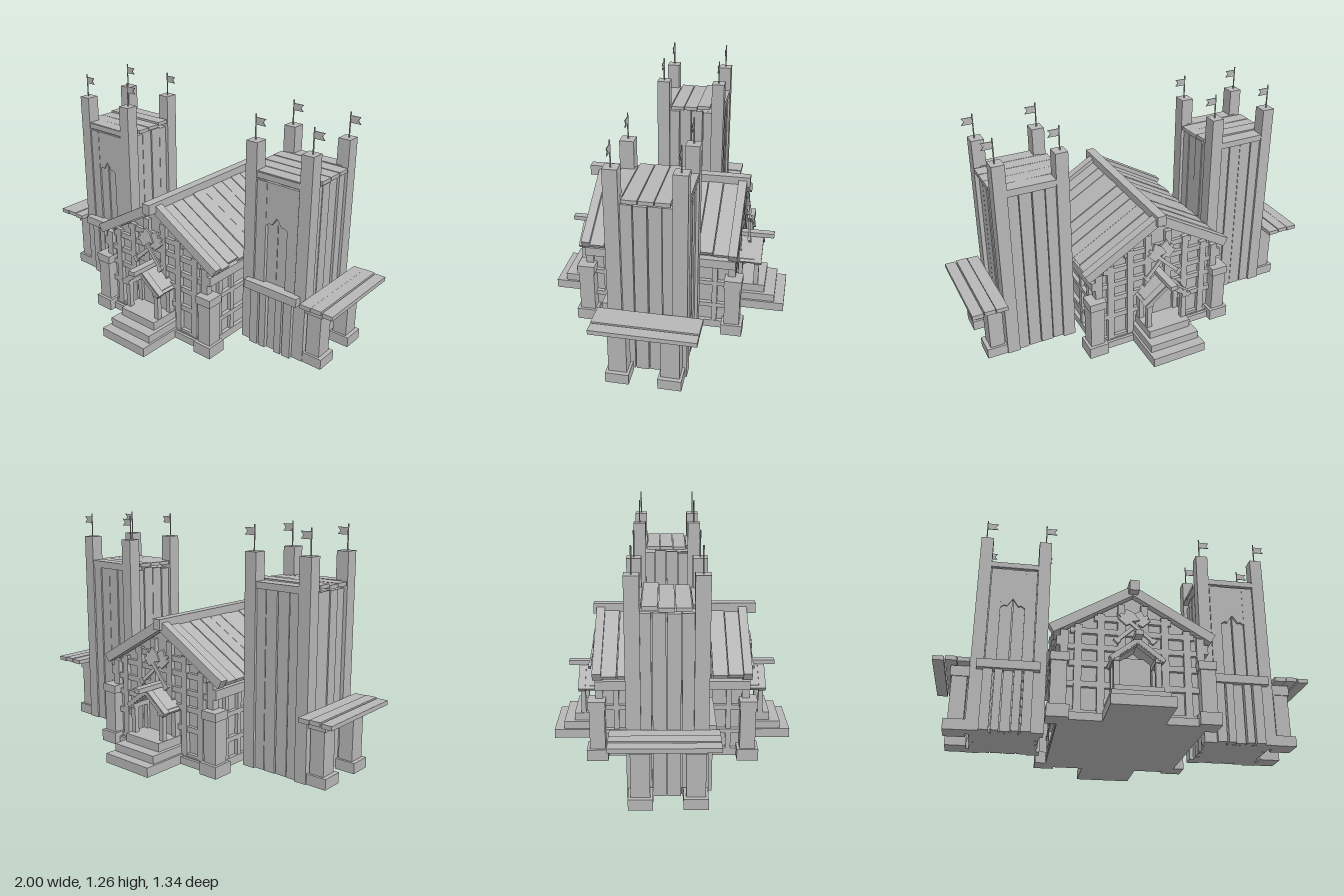
import * as THREE from 'three';

const wood = new THREE.MeshStandardMaterial({ color: 0xb6b6b6 });
wood.name = 'plain grey timber';
const flagMat = wood;

let seed = 7;
const rnd = () => { seed = (seed * 16807) % 2147483647; return seed / 2147483647; };

function add(parent, name, geo) {
  const m = new THREE.Mesh(geo, wood);
  m.name = name;
  parent.add(m);
  return m;
}
// box given by its extents
function box(parent, name, x0, x1, y0, y1, z0, z1) {
  const m = add(parent, name, new THREE.BoxGeometry(Math.abs(x1 - x0), y1 - y0, Math.abs(z1 - z0)));
  m.position.set((x0 + x1) / 2, (y0 + y1) / 2, (z0 + z1) / 2);
  return m;
}
// sloping board whose top edge runs between two points in x and y
function slope(parent, name, xa, ya, xb, yb, t, z0, z1) {
  const dx = xb - xa, dy = yb - ya, l = Math.hypot(dx, dy), k = Math.sign(dx);
  const m = add(parent, name, new THREE.BoxGeometry(l, t, z1 - z0));
  m.position.set((xa + xb) / 2 + k * dy / l * t / 2, (ya + yb) / 2 - k * dx / l * t / 2, (z0 + z1) / 2);
  m.rotation.z = Math.atan(dy / dx);
  return m;
}
// flat outline extruded from z0 to z1
function plate(parent, name, pts, z0, z1) {
  const s = new THREE.Shape(pts.map(p => new THREE.Vector2(p[0], p[1])));
  const m = add(parent, name, new THREE.ExtrudeGeometry(s, { depth: z1 - z0, bevelEnabled: false }));
  m.position.z = z0;
  return m;
}
function group(parent, name) {
  const g = new THREE.Group();
  g.name = name;
  parent.add(g);
  return g;
}

function hall(root) {
  const g = group(root, 'hall');
  box(g, 'floor', -0.37, 0.37, 0.005, 0.05, -0.41, 0.41);
  plate(g, 'walls', [[-0.35, 0.04], [0.35, 0.04], [0.35, 0.49], [0, 0.7], [-0.35, 0.49]], -0.385, 0.385);

  // roof planks running down each slope, with uneven ends
  for (const s of [-1, 1]) {
    const n = 9;
    for (let i = 0; i < n; i++) {
      const z = -0.375 + i * 0.75 / n, e = rnd() * 0.02, u = rnd() * 0.008;
      slope(g, 'roofPlank', 0, 0.735 + u, s * (0.425 - e), 0.485 + u + e * 0.6, 0.025, z + 0.002, z + 0.75 / n - 0.002);
    }
    for (const z of [-0.42, 0.37]) slope(g, 'bargeBoard', 0, 0.763, s * 0.432, 0.508, 0.05, z, z + 0.047);
    // side framing
    box(g, 'eaveBeam', s * 0.345, s * 0.39, 0.4, 0.45, -0.41, 0.41);
    for (const [y, h] of [[0.02, 0.03], [0.14, 0.025], [0.28, 0.025]])
      box(g, 'sideRail', s * 0.345, s * 0.372, y, y + h, -0.39, 0.39);
    for (const z of [-0.3, -0.2, 0.2, 0.3]) box(g, 'sideStud', s * 0.345, s * 0.37, 0.04, 0.42, z - 0.014, z + 0.014);
    // corner posts
    for (const f of [-1, 1]) {
      box(g, 'cornerFoot', s * 0.32, s * 0.43, 0.005, 0.07, f * 0.345, f * 0.46);
      box(g, 'cornerPost', s * 0.335, s * 0.415, 0.07, 0.3, f * 0.36, f * 0.443);
      box(g, 'cornerCap', s * 0.325, s * 0.42, 0.3, 0.345, f * 0.355, f * 0.45);
      box(g, 'cornerStud', s * 0.33, s * 0.37, 0.34, 0.485, f * 0.37, f * 0.41);
    }
  }
  box(g, 'ridgeBeam', -0.025, 0.025, 0.71, 0.768, -0.438, 0.468);

  // timber grid on both gables
  for (const f of [-1, 1]) {
    for (const x of [-0.28, -0.165, -0.06, 0.06, 0.165, 0.28])
      box(g, 'gableStud', x - 0.019, x + 0.019, 0.05, 0.685 - 0.58 * Math.abs(x), f * 0.38, f * 0.408);
    for (const [y, w] of [[0.05, 0.35], [0.2, 0.35], [0.31, 0.35], [0.4, 0.35], [0.49, 0.32], [0.565, 0.2]])
      box(g, 'gableRail', -w, w, y - 0.015, y + 0.015, f * 0.38, f * 0.404);
    box(g, 'sill', -0.33, 0.33, 0.005, 0.045, f * 0.38, f * 0.425);
  }
}

// one crossed axe, drawn upright and then tilted
function axe(parent, s) {
  const g = group(parent, 'axe');
  box(g, 'axeHandle', -0.01, 0.01, -0.13, 0.1, -0.005, 0.005);
  box(g, 'axePommel', -0.017, 0.017, -0.14, -0.118, -0.008, 0.008);
  plate(g, 'axeBlade', [[-0.012, 0.025], [0.012, 0.025], [0.045, 0.005], [0.056, 0.055], [0.045, 0.1],
    [0.012, 0.085], [-0.012, 0.085], [-0.03, 0.09], [-0.03, 0.03]], -0.006, 0.006);
  g.scale.x = s;
  g.rotation.z = s * 0.8;
  g.position.z = s * 0.004;
}

function porch(root, f) {
  const g = group(root, 'porch');
  box(g, 'lowerStep', -0.155, 0.155, 0.005, 0.057, 0.38, 0.67);
  box(g, 'middleStep', -0.143, 0.143, 0.057, 0.1, 0.38, 0.615);
  box(g, 'upperStep', -0.122, 0.122, 0.1, 0.146, 0.38, 0.555);
  box(g, 'door', -0.085, 0.085, 0.146, 0.345, 0.39, 0.414);
  for (const s of [-1, 1]) {
    box(g, 'porchPost', s * 0.09, s * 0.118, 0.146, 0.31, 0.49, 0.517);
    box(g, 'doorJamb', s * 0.09, s * 0.118, 0.146, 0.31, 0.39, 0.425);
    box(g, 'porchPlate', s * 0.088, s * 0.122, 0.285, 0.312, 0.39, 0.525);
    slope(g, 'porchRoof', 0, 0.405, s * 0.135, 0.3, 0.018, 0.39, 0.53);
    slope(g, 'porchBarge', 0, 0.412, s * 0.142, 0.303, 0.028, 0.49, 0.528);
  }
  box(g, 'porchRidge', -0.02, 0.02, 0.4, 0.425, 0.39, 0.588);
  const cross = group(g, 'crossedAxes');
  axe(cross, 1);
  axe(cross, -1);
  cross.position.set(0, 0.51, 0.445);
  cross.rotation.x = -0.16;
  if (f < 0) g.rotation.y = Math.PI;
}

function tower(root, s) {
  const g = group(root, s > 0 ? 'leftTower' : 'rightTower');
  box(g, 'towerCore', s * 0.46, s * 0.77, 0.01, 0.95, -0.19, 0.13);
  // wall planks on the four faces
  for (let i = 0; i < 4; i++) {
    const x = 0.475 + i * 0.07, z = -0.17 + i * 0.07;
    for (const f of [-1, 1]) {
      const e = rnd() * 0.012, top = 0.955 + rnd() * 0.02;
      const zf = f > 0 ? 0.125 : -0.185;
      box(g, 'wallPlank', s * (x + 0.002), s * (x + 0.067), 0.01, top, zf, zf + f * (0.02 + e));
      const xf = 0.615 + f * 0.15;
      box(g, 'sidePlank', s * xf, s * (xf + f * (0.02 + e)), 0.01, top - 0.01, z + 0.002, z + 0.067);
    }
  }
  // corner posts with pennants
  for (const x of [0.4525, 0.7775]) for (const z of [0.135, -0.19]) {
    box(g, 'towerPost', s * x - 0.034, s * x + 0.034, 0.01, 1.135, z - 0.036, z + 0.036);
    const px = s * (x + (x > 0.6 ? 0.006 : -0.004));
    const pole = add(g, 'flagPole', new THREE.CylinderGeometry(0.0035, 0.0035, 0.135, 6));
    pole.position.set(px, 1.2, z);
    plate(g, 'pennant', [[px, 1.213], [px + 0.06, 1.213], [px + 0.045, 1.231], [px + 0.06, 1.25], [px, 1.25]], z - 0.002, z + 0.002);
  }
  // roof planks and the rails below them
  for (let i = 0; i < 5; i++) {
    const z = -0.225 + i * 0.078, u = rnd() * 0.014, wide = i > 0 && i < 4 ? 0.2 : 0.16;
    const m = box(g, 'towerRoofPlank', s * 0.615 - wide, s * 0.615 + wide, 0.965 + u, 0.985 + u, z + 0.002, z + 0.076);
    m.rotation.z = (rnd() - 0.5) * 0.02;
  }
  box(g, 'frontRail', s * 0.47, s * 0.76, 0.955, 0.985, 0.14, 0.168);
  box(g, 'backRail', s * 0.47, s * 0.76, 0.955, 0.985, -0.222, -0.19);

  // front panel: side boards and a header with a pointed opening
  box(g, 'frontBoard', s * 0.49, s * 0.55, 0.385, 0.945, 0.14, 0.166);
  box(g, 'frontBoard', s * 0.68, s * 0.74, 0.385, 0.945, 0.14, 0.166);
  const c = s * 0.615;
  plate(g, 'pointedHeader', [[c - 0.066, 0.945], [c - 0.066, 0.71], [c - 0.045, 0.725], [c - 0.03, 0.72], [c, 0.765],
    [c + 0.03, 0.72], [c + 0.045, 0.725], [c + 0.066, 0.71], [c + 0.066, 0.945]], 0.14, 0.164);

  // front lintel over a skirt of boards
  box(g, 'lintel', s * 0.452, s * 0.78, 0.338, 0.385, 0.15, 0.208);
  for (const [a, b] of [[0.485, 0.535], [0.545, 0.585], [0.645, 0.685], [0.695, 0.745]])
    box(g, 'skirtBoard', s * a, s * b, 0.01, 0.34, 0.15, 0.192);
  box(g, 'skirtBoard', s * 0.59, s * 0.64, 0.01, 0.34, 0.15, 0.176);

  // outer lean-to table on two footed posts
  const t = group(g, 'sideAwning');
  for (const z of [0.108, -0.158]) {
    box(t, 'awningFoot', s * 0.81, s * 0.922, 0.01, 0.067, z - 0.06, z + 0.06);
    box(t, 'awningPost', s * 0.82, s * 0.9, 0.067, 0.3, z - 0.047, z + 0.047);
    box(t, 'awningCap', s * 0.812, s * 0.908, 0.3, 0.355, z - 0.053, z + 0.053);
  }
  for (const [a, b, y] of [[0.812, 0.874, 0.356], [0.877, 0.936, 0.359], [0.942, 1, 0.355]])
    box(t, 'awningPlank', s * a, s * b, y, y + 0.023, -0.305, 0.222);
}

export function createModel() {
  const root = new THREE.Group();
  root.name = 'timberHall';
  seed = 7;
  hall(root);
  for (const k of [1, -1]) {
    porch(root, k);
    tower(root, k);
  }
  return root;
}
